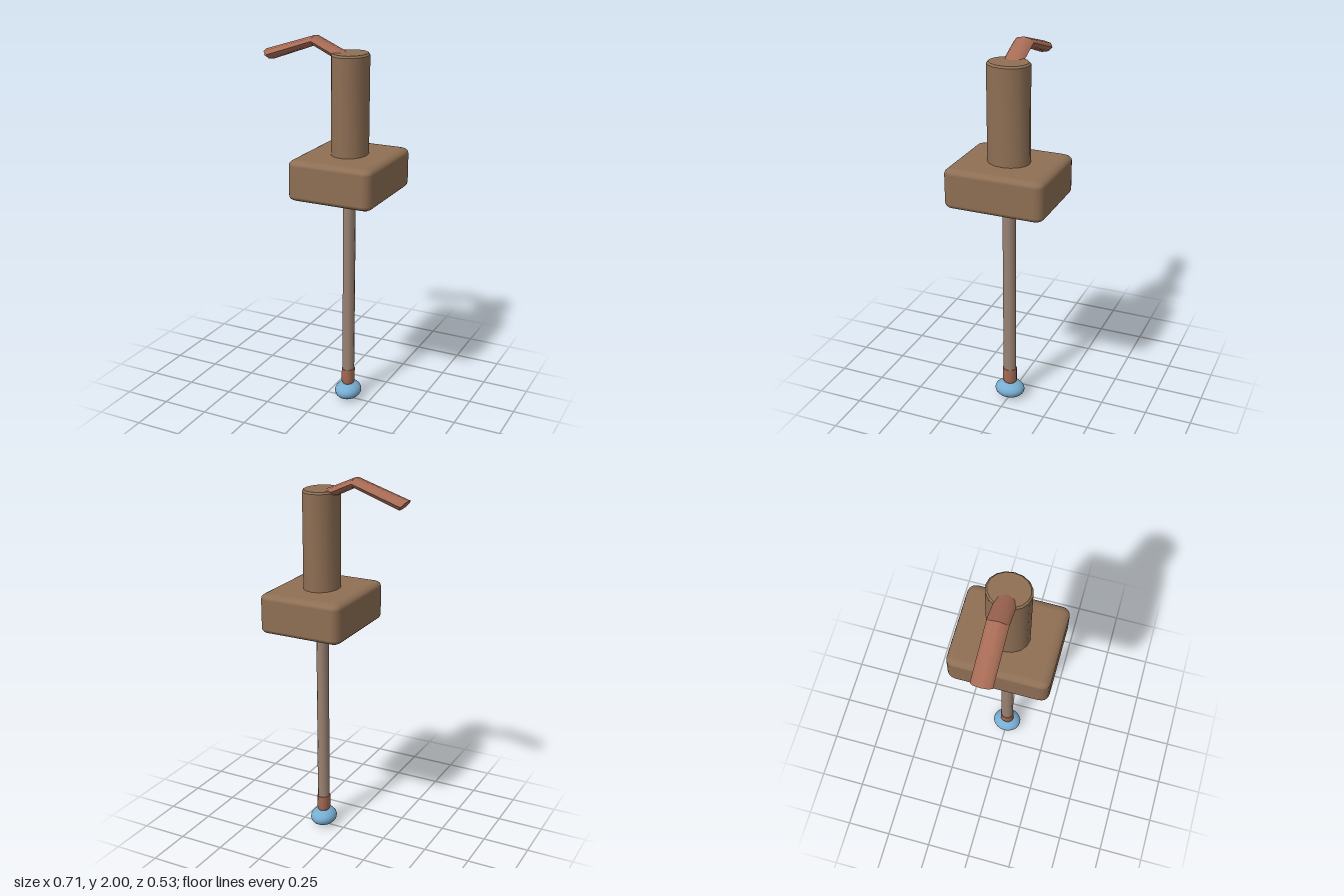
import * as THREE from 'three';
import { RoundedBoxGeometry } from 'three/addons/geometries/RoundedBoxGeometry.js';
import { toCreasedNormals } from 'three/addons/utils/BufferGeometryUtils.js';

const mat = (name, color) => {
  const m = new THREE.MeshStandardMaterial({ color });
  m.name = name;
  return m;
};

// Straight tube between two oval rings; a ring is [x, y, halfX, halfY], with half-width in z
function ovalTube(a, b, halfZ, sides = 8) {
  const pos = [], index = [];
  for (const [x, y, hx, hy] of [a, b]) {
    for (let i = 0; i < sides; i++) {
      const t = (i / sides) * Math.PI * 2;
      pos.push(x + hx * Math.cos(t), y + hy * Math.cos(t), halfZ * Math.sin(t));
    }
  }
  for (let i = 0; i < sides; i++) {
    const j = (i + 1) % sides;
    index.push(i, j, sides + i, j, sides + j, sides + i);
    if (i > 0 && i < sides - 1) {
      index.push(0, i + 1, i, sides, sides + i, sides + i + 1);
    }
  }
  const g = new THREE.BufferGeometry();
  g.setAttribute('position', new THREE.Float32BufferAttribute(pos, 3));
  g.setIndex(index);
  return toCreasedNormals(g, 0.9);
}

export function createModel() {
  const model = new THREE.Group();
  model.name = 'dispenserPump';
  const brown = mat('brown', 0x8e6f54);
  const copper = mat('terracotta', 0xa86c56);
  const taupe = mat('taupe', 0x9a8273);
  const blue = mat('blue', 0x78aed2);
  const axis = 0.125;

  const add = (name, geometry, material, x = 0, y = 0) => {
    const mesh = new THREE.Mesh(geometry, material);
    mesh.name = name;
    mesh.position.set(x, y, 0);
    model.add(mesh);
    return mesh;
  };
  // Oval turned part; the profile radius is the x radius
  const turned = (name, profile, material, stretchZ, sides = 16) => {
    const g = new THREE.LatheGeometry(profile.map(([r, y]) => new THREE.Vector2(r, y)), sides);
    g.scale(1, 1, stretchZ);
    return add(name, toCreasedNormals(g, 0.6), material, axis);
  };

  // Rounded collar block
  const block = new RoundedBoxGeometry(0.46, 0.215 / 0.7, 0.534 / 1.18, 2, 0.042);
  block.scale(1, 0.7, 1.18);
  add('collarBlock', block, brown, axis, 1.303);

  // Upright pump barrel with a softened top edge
  turned('barrel', [[0, 1.38], [0.095, 1.38], [0.095, 1.915], [0.087, 1.925], [0, 1.925]], brown, 1.18);

  // Dip rod, its end sleeve and the bead
  turned('dipRod', [[0, 0.17], [0.032, 0.17], [0.032, 1.167], [0, 1.167]], taupe, 1.12, 12);
  turned('rodSleeve', [[0, 0.09], [0.026, 0.09], [0.035, 0.11], [0.035, 0.186], [0, 0.186]], copper, 1.14, 12);
  const bead = new THREE.SphereGeometry(1, 20, 14);
  bead.scale(0.071, 0.049, 0.083);
  add('bead', bead, blue, axis, 0.054);

  // Bent spout
  const tip = [-0.335, 1.885, -0.021, 0.025];
  const bend = [-0.07, 1.974, 0, 0.026];
  const root = [0.115, 1.89, 0.01, 0.025];
  add('spoutOuter', ovalTube(tip, bend, 0.053), copper);
  add('spoutInner', ovalTube(bend, root, 0.053), copper);
  return model;
}
